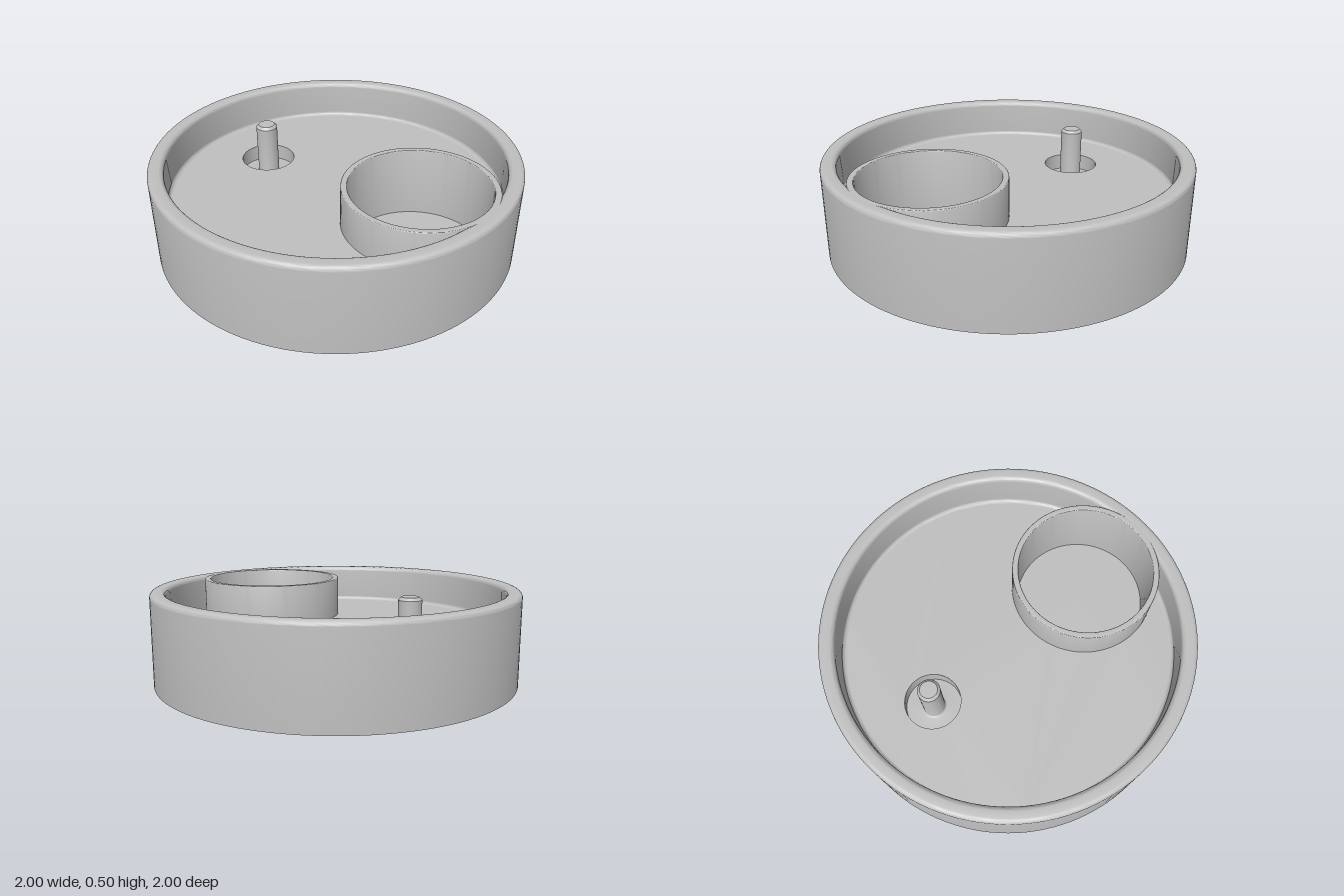
import * as THREE from 'three';
import { toCreasedNormals } from 'three/addons/utils/BufferGeometryUtils.js';

const FLOOR = 0.28, TOP = 0.5, INNER = 0.915;
const CUP = { z: 0.547, outer: 0.4, inner: 0.367 };
const PIN = { z: -0.525, pit: 0.152 };

// Points of a quarter round about (cx, cy), angles in quarter turns
function arc(cx, cy, r, from, to, n = 6) {
  return Array.from({ length: n + 1 }, (_, i) => {
    const a = (from + (to - from) * i / n) * Math.PI / 2;
    return [cx + r * Math.cos(a), cy + r * Math.sin(a)];
  });
}

export function createModel() {
  const model = new THREE.Group();
  const grey = new THREE.MeshStandardMaterial({ color: 0xbfbfbf });
  grey.name = 'plain grey';

  function add(name, geometry, z = 0) {
    const mesh = new THREE.Mesh(geometry, grey);
    mesh.name = name;
    mesh.position.z = z;
    model.add(mesh);
    return mesh;
  }
  function turned(points, segments, start = 0, length = Math.PI * 2) {
    const profile = points.map(([x, y]) => new THREE.Vector2(x, y));
    return toCreasedNormals(new THREE.LatheGeometry(profile, segments, start, length), 0.6);
  }

  // Outer body: underside, outer wall, rounded rim and inner wall
  add('body', turned([
    [0, 0], [1, 0],
    ...arc(0.975, TOP - 0.025, 0.025, 0, 1),
    ...arc(INNER + 0.025, TOP - 0.025, 0.025, 1, 2),
    [INNER, FLOOR],
  ], 128));

  // Tray floor, opened for the cup and the pin recess
  const floor = new THREE.Shape().absarc(0, 0, INNER + 0.005, 0, Math.PI * 2);
  for (const [z, r] of [[CUP.z, CUP.inner], [PIN.z, PIN.pit]]) {
    floor.holes.push(new THREE.Path().absarc(0, -z, r, 0, Math.PI * 2, true));
  }
  const floorGeometry = new THREE.ShapeGeometry(floor, 96);
  floorGeometry.rotateX(-Math.PI / 2);
  add('floor', floorGeometry).position.y = FLOOR;

  // Fillet between wall and floor, stopping inside the cup wall
  add('floorFillet', turned(
    arc(INNER - 0.02, FLOOR + 0.02, 0.02, 0, -1),
    120, 0.2, Math.PI * 2 - 0.4), 0);

  // Deep round cup merging with the rim
  add('cup', turned([
    [CUP.outer, FLOOR - 0.01],
    ...arc(CUP.outer - 0.004, TOP - 0.004, 0.004, 0, 1, 3),
    ...arc(CUP.inner + 0.004, TOP - 0.004, 0.004, 1, 2, 3),
    [CUP.inner, 0.1], [0, 0.1],
  ], 96), CUP.z);

  // Recess with a chamfered pin rising from its floor
  add('pinAndRecess', turned([
    [PIN.pit, FLOOR], [PIN.pit, 0.19],
    ...arc(0.072, 0.202, 0.012, -1, -2, 4),
    [0.06, TOP - 0.015], [0.046, TOP], [0, TOP],
  ], 64), PIN.z);

  return model;
}
